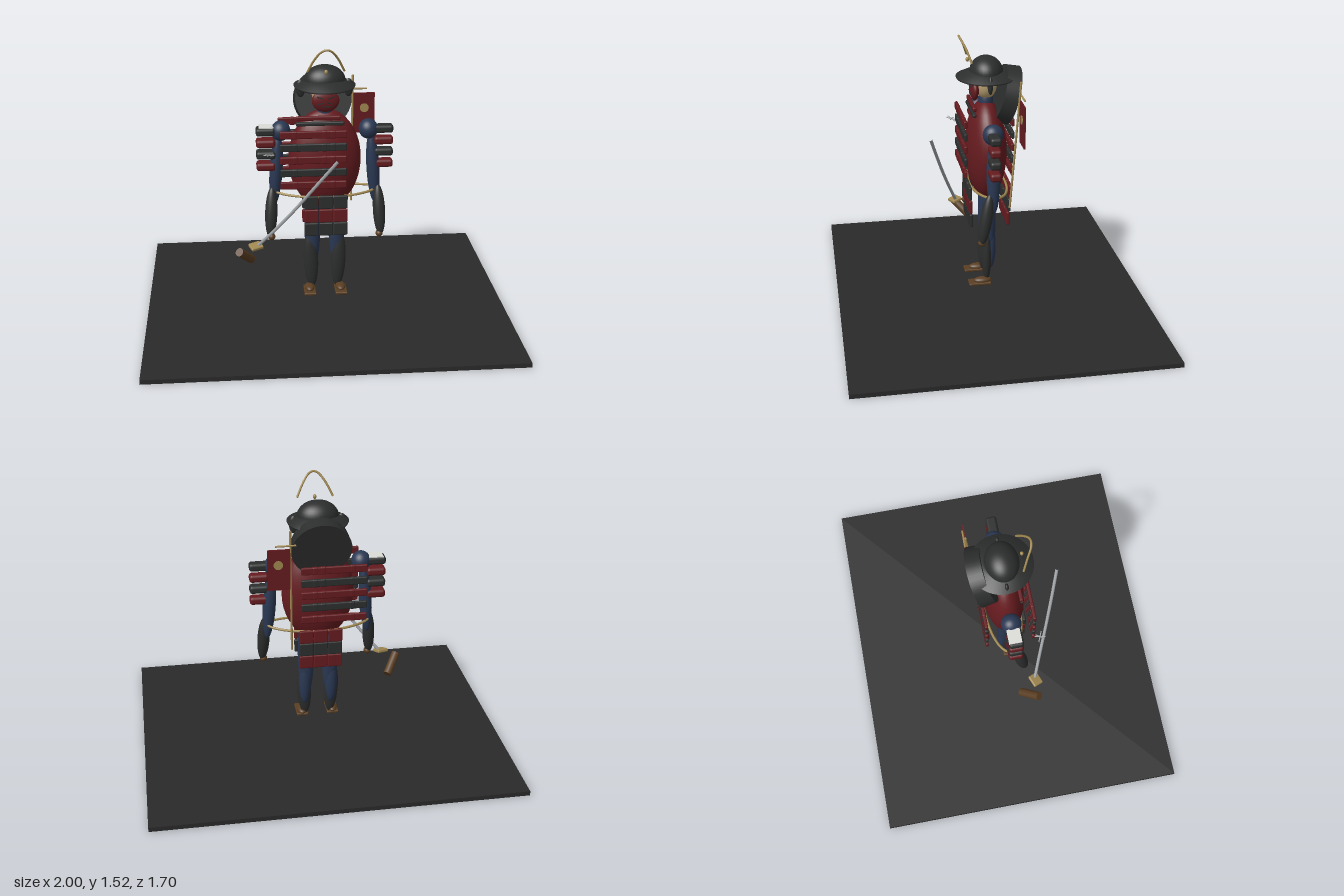
import * as THREE from 'three';
import { RoundedBoxGeometry } from 'three/addons/geometries/RoundedBoxGeometry.js';

const mat = (name, color, side = THREE.FrontSide) => {
  const m = new THREE.MeshStandardMaterial({ color, side });
  m.name = name;
  return m;
};
const V = (x, y, z) => new THREE.Vector3(x, y, z);

export function createModel() {
  const g = new THREE.Group();
  const black = mat('blackLacquer', 0x2c2e2d), red = mat('redLacquer', 0x651b1f);
  const blue = mat('indigoCloth', 0x2a3853), gold = mat('gold', 0xa08850);
  const brown = mat('brownLeather', 0x5a3e22), steel = mat('steel', 0xa0a3a6);
  const white = mat('white', 0xdcdcd8), skin = mat('skin', 0xb8a070);
  const ground = mat('ground', 0x2a2a2a);

  const add = (name, geo, m, p = [0, 0, 0], r = [0, 0, 0]) => {
    const mesh = new THREE.Mesh(geo, m);
    mesh.name = name;
    mesh.position.set(...p);
    mesh.rotation.set(...r);
    g.add(mesh);
    return mesh;
  };
  const box = (name, s, p, m, r) => add(name, new THREE.BoxGeometry(...s), m, p, r);
  const plate = (name, s, p, m, r) =>
    add(name, new RoundedBoxGeometry(...s, 2, Math.min(...s) * 0.35), m, p, r);
  const ball = (name, s, p, m, r) =>
    add(name, new THREE.SphereGeometry(1, 32, 20).scale(...s), m, p, r);
  const rod = (name, a, b, ra, rb, m) => {
    const d = b.clone().sub(a);
    const mesh = add(name, new THREE.CylinderGeometry(rb, ra, d.length(), 16), m);
    mesh.position.copy(a).addScaledVector(d, 0.5);
    mesh.quaternion.setFromUnitVectors(V(0, 1, 0), d.normalize());
    return mesh;
  };
  const tube = (name, pts, r, m, closed = false) =>
    add(name, new THREE.TubeGeometry(new THREE.CatmullRomCurve3(pts, closed), 48, r, 8, closed), m);

  // Ground slab
  box('groundSlab', [2, 0.025, 1.7], [0, 0.0125, 0], ground);

  // Torso, neck and head
  ball('torso', [0.2, 0.285, 0.112], [0, 0.875, 0.007], red);
  ball('neck', [0.045, 0.07, 0.04], [0, 1.15, 0.005], blue);
  ball('face', [0.07, 0.085, 0.06], [0, 1.25, 0.005], skin);
  ball('mask', [0.074, 0.062, 0.025], [0, 1.222, 0.07], red);
  for (const s of [-1, 1]) {
    box('maskEye', [0.036, 0.006, 0.006], [s * 0.03, 1.243, 0.09], black, [0, s * 0.25, s * 0.25]);
    box('maskMoustache', [0.036, 0.005, 0.006], [s * 0.025, 1.212, 0.093], black, [0, s * 0.2, -s * 0.3]);
  }
  box('maskMouth', [0.05, 0.006, 0.006], [0, 1.195, 0.091], black);

  // Helmet with brim, side guards and crest
  ball('helmetDome', [0.113, 0.085, 0.09], [0, 1.318, 0.003], black);
  add('helmetBrim', new THREE.LatheGeometry([
    new THREE.Vector2(0.08, 1.305), new THREE.Vector2(0.163, 1.283),
    new THREE.Vector2(0.168, 1.293), new THREE.Vector2(0.1, 1.325),
    new THREE.Vector2(0.08, 1.325), new THREE.Vector2(0.08, 1.305)], 40),
  mat('brimLacquer', 0x2c2e2d, THREE.DoubleSide));
  for (const s of [-1, 1])
    ball('helmetSideGuard', [0.025, 0.05, 0.014], [s * 0.13, 1.275, 0.003], black);
  tube('helmetCrest', [V(-0.098, 1.39, 0.095), V(-0.06, 1.465, 0.122), V(-0.025, 1.508, 0.145),
    V(0, 1.517, 0.15), V(0.025, 1.508, 0.145), V(0.06, 1.465, 0.122), V(0.098, 1.39, 0.095)], 0.006, gold);
  ball('crestKnob', [0.01, 0.013, 0.01], [0, 1.388, 0.105], gold);

  // Round lacquered hat slung behind the head
  add('backDisc', new THREE.CylinderGeometry(0.163, 0.155, 0.08, 40), black,
    [0, 1.185, -0.103], [-Math.PI / 2 - 0.27, 0, 0]);

  // Throat guard
  plate('throatGuardUpper', [0.24, 0.025, 0.02], [-0.04, 1.128, 0.078], red);
  plate('throatGuardLower', [0.26, 0.022, 0.02], [-0.03, 1.098, 0.082], black);

  // Chest and back armour bands
  for (let i = 0; i < 5; i++) {
    const y = 1.053 - i * 0.0715, m = i % 2 ? black : red;
    for (const z of [0.132, -0.125]) {
      plate('armourBand', [0.36, 0.042, 0.018], [-0.07, y, z], m);
      for (const x of [-0.17, -0.01, 0.035])
        plate('bandScale', [0.03, 0.045, 0.021], [x, y, z], m);
    }
  }

  // Hanging skirt plates, front and back
  for (let c = -1; c <= 1; c++)
    for (let r = 0; r < 3; r++) {
      const y = 0.655 - r * 0.08;
      plate('frontSkirtPlate', [0.077, 0.076, 0.018], [c * 0.08, y, 0.11 - r * 0.002], r % 2 ? red : black);
      plate('backSkirtPlate', [0.077, 0.076, 0.018], [c * 0.08, y, -0.112 + r * 0.006], r % 2 ? black : red);
    }

  // Rope belt
  const ring = [];
  for (let i = 0; i < 24; i++) {
    const a = i / 24 * Math.PI * 2;
    ring.push(V(0.285 * Math.cos(a), 0.68 + 0.015 * Math.cos(a) ** 2, 0.1 * Math.sin(a)));
  }
  tube('ropeBelt', ring, 0.007, gold, true);

  // Arms, shoulder guards and legs, mirrored
  for (const s of [-1, 1]) {
    ball('shoulder', [0.053, 0.056, 0.055], [s * 0.24, 1.04, 0.007], blue);
    ball('upperArm', [0.036, 0.21, 0.037], [s * 0.268, 0.815, 0.01], blue, [0, 0, s * 0.07]);
    ball('forearm', [0.034, 0.145, 0.034], [s * 0.3, 0.58, 0.055], black, [-0.16, 0, s * 0.05]);
    ball('hand', [0.02, 0.02, 0.022], [s * 0.3, 0.447, 0.076], brown);
    for (let i = 0; i < 4; i++)
      plate('shoulderGuard', [0.105, 0.045, s < 0 ? 0.08 : 0.06],
        [s * 0.323, 1.042 - i * 0.066, 0.012], i % 2 ? red : black);

    ball('thigh', [0.046, 0.275, 0.038], [s * 0.068, 0.49, 0.0], blue);
    ball('shin', [0.041, 0.17, 0.027], [s * 0.078, 0.27, 0.014], black, [0, 0, -s * 0.04]);
    ball('calf', [0.034, 0.14, 0.03], [s * 0.075, 0.32, -0.008], blue);
    ball('foot', [0.028, 0.018, 0.05], [s * 0.088, 0.113, 0.04], brown);
    plate('sandal', [0.068, 0.016, 0.125], [s * 0.088, 0.1, 0.056], brown);
  }
  box('shoulderPaper', [0.08, 0.006, 0.07], [-0.32, 1.067, 0.008], white);

  // Back banner
  rod('bannerPole', V(0.16, 0.58, -0.1), V(0.17, 1.3, -0.155), 0.006, 0.006, gold);
  rod('bannerCrossbar', V(0.14, 1.22, -0.16), V(0.25, 1.22, -0.16), 0.005, 0.005, gold);
  box('banner', [0.122, 0.23, 0.009], [0.232, 1.083, -0.152], red);
  for (const z of [-0.146, -0.158])
    add('bannerDisc', new THREE.CylinderGeometry(0.025, 0.025, 0.005, 24), gold,
      [0.235, 1.112, z], [Math.PI / 2, 0, 0]);

  // Sword: curved blade, guard and loose scabbard piece
  const blade = tube('blade', [V(-0.375, 0.42, 0.125), V(-0.275, 0.535, 0.17), V(-0.17, 0.67, 0.22),
    V(-0.06, 0.82, 0.27), V(0.045, 0.962, 0.315)], 0.009, steel);
  blade.castShadow = false;
  plate('swordGuard', [0.07, 0.02, 0.06], [-0.39, 0.413, 0.125], gold, [0.25, 0.4, 0]);
  rod('swordGrip', V(-0.482, 0.382, 0.13), V(-0.415, 0.298, 0.04), 0.024, 0.024, brown);

  // Small crossed steel fitting near the right shoulder
  const c = V(-0.31, 0.95, 0.15);
  for (const d of [V(0.028, 0.004, 0.012), V(-0.008, 0.006, 0.028), V(0.018, -0.012, -0.02)])
    rod('steelFitting', c.clone().sub(d), c.clone().add(d), 0.003, 0.003, steel);

  return g;
}
